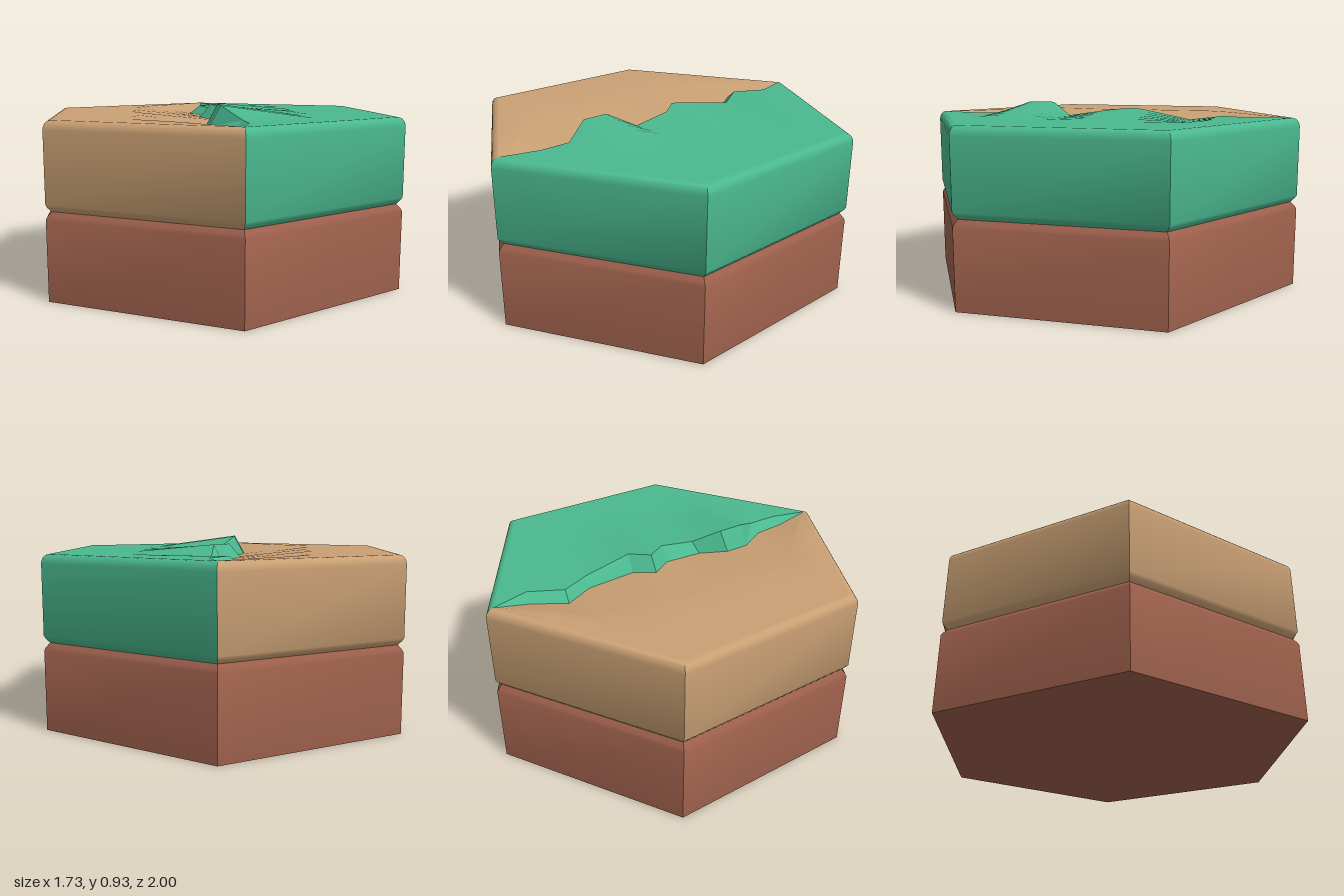
import * as THREE from 'three';
import { toCreasedNormals } from 'three/addons/utils/BufferGeometryUtils.js';

const TOP = 0.865, RIM = 0.96;

// Surface through rows of points; its front is (along rows) x (along points)
function loft(name, rows, color, crease = 0.6) {
  const n = rows[0].length, index = [];
  for (let i = 0; i < rows.length - 1; i++) {
    for (let j = 0; j < n - 1; j++) {
      const a = i * n + j, b = a + n;
      index.push(a, b, b + 1, a, b + 1, a + 1);
    }
  }
  const geo = new THREE.BufferGeometry();
  geo.setAttribute('position', new THREE.Float32BufferAttribute(rows.flat(2), 3));
  geo.setIndex(index);
  const mesh = new THREE.Mesh(toCreasedNormals(geo, crease), new THREE.MeshStandardMaterial({ color }));
  mesh.name = name;
  return mesh;
}

// Hexagonal side walls following a [radius, height] profile, corners numbered from +z towards +x
function hexWalls(name, profile, from, to, color) {
  const rows = [];
  for (let k = from; k <= to; k++) {
    const a = k * Math.PI / 3;
    rows.push(profile.map(([r, y]) => [r * Math.sin(a), y, r * Math.cos(a)]));
  }
  return loft(name, rows, color);
}

// Adds a row where an edge line passes the hexagon's rim corners
function withCornerRows(line) {
  const out = [line[0]];
  for (let i = 1; i < line.length; i++) {
    const p = line[i - 1], q = line[i];
    for (const z of [-RIM / 2, RIM / 2]) {
      if (p[2] < z && q[2] > z) {
        const t = (z - p[2]) / (q[2] - p[2]);
        out.push(p.map((v, k) => v + (q[k] - v) * t));
      }
    }
    out.push(q);
  }
  return out;
}

// Half of the top face, easing from the height of the crack edge to the flat level
function topHalf(name, line, side, color) {
  const steps = [0, 0.08, 0.16, 0.24, 0.32, 0.4, 0.5, 0.75, 1];
  const rows = withCornerRows(line).map(([x, y, z]) => {
    const rim = side * Math.min(RIM * Math.sqrt(3) / 2, (RIM - Math.abs(z)) * Math.sqrt(3));
    const row = steps.map(t => [x + (rim - x) * t, TOP + (y - TOP) * Math.max(0, 1 - t / 0.5), z]);
    return side > 0 ? row : row.reverse();
  });
  return loft(name, rows, color, 0.8);
}

export function createModel() {
  const group = new THREE.Group();
  const brown = 0x9c5f4b, tan = 0xc9a074, green = 0x4ab88f;

  // Base slab with a chamfered upper edge
  group.add(hexWalls('base', [[1, 0], [1, 0.4], [0.99, 0.415], [0.97, 0.435]], 0, 6, brown));
  const bottom = new THREE.Mesh(new THREE.CircleGeometry(1, 6, Math.PI / 2), new THREE.MeshStandardMaterial({ color: brown }));
  bottom.rotation.x = Math.PI / 2;
  bottom.name = 'baseUnderside';
  group.add(bottom);

  // Upper slab: chamfered below, rounded above, split into two halves
  const profile = [[0.97, 0.435], [0.99, 0.455], [1, 0.47], [1, 0.82]];
  for (let k = 1; k <= 5; k++) {
    const a = k * Math.PI / 10;
    profile.push([RIM + 0.04 * Math.cos(a), 0.82 + 0.045 * Math.sin(a)]);
  }
  group.add(hexWalls('greenSides', profile, 0, 3, green));
  group.add(hexWalls('sandSides', profile, 3, 6, tan));

  // Crack edges from back to front: sunken on the sand half, raised on the green half
  const low = [
    [0, TOP, -RIM], [0, 0.825, -0.78], [-0.09, 0.82, -0.62], [0, 0.81, -0.46], [0, 0.82, -0.21],
    [-0.08, 0.83, -0.12], [0, 0.82, 0], [0, 0.81, 0.21], [-0.09, 0.825, 0.33], [-0.09, 0.825, 0.46],
    [0, 0.82, 0.62], [0, 0.83, 0.78], [0, TOP, RIM],
  ];
  const high = [
    [0, TOP, -RIM], [0.05, TOP, -0.77], [-0.035, TOP, -0.61], [0.055, 0.85, -0.45], [0.055, 0.9, -0.2],
    [-0.02, 0.9, -0.11], [0.055, 0.89, 0], [0.055, 0.86, 0.2], [-0.035, 0.925, 0.32], [-0.035, 0.925, 0.46],
    [0.05, TOP, 0.61], [0.05, TOP, 0.77], [0, TOP, RIM],
  ];
  group.add(topHalf('sandTop', low, -1, tan));
  group.add(topHalf('greenTop', high, 1, green));
  group.add(loft('crackWall', low.map((p, i) => [p, high[i]]), green, 0.2));

  return group;
}
